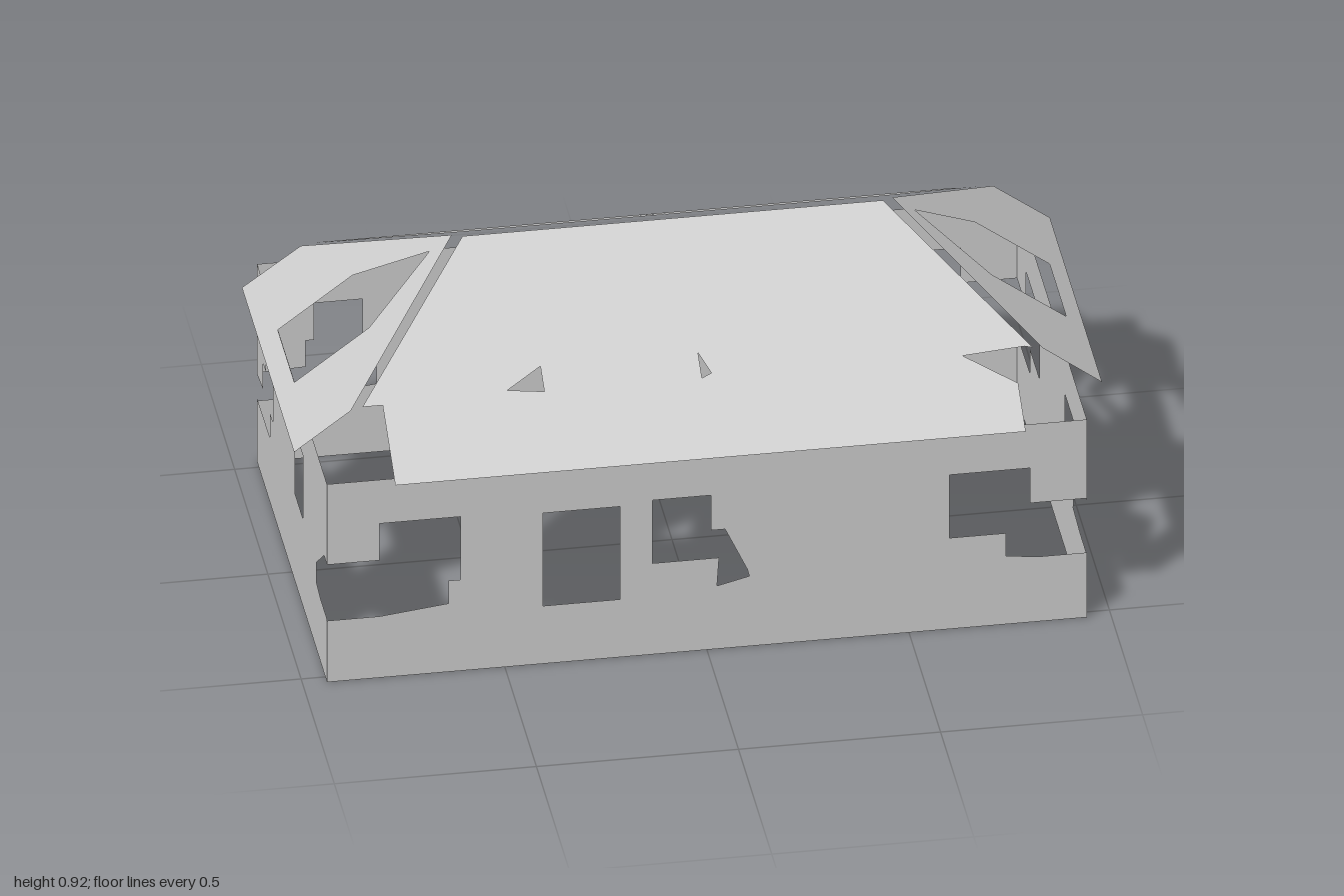
import * as THREE from 'three';

const material = new THREE.MeshStandardMaterial({ color: 0xcccccc, side: THREE.DoubleSide, flatShading: true });
const HEIGHT = 0.565, HALF_X = 0.94, HALF_Z = 0.525;

const points = (list) => list.map(([a, b]) => new THREE.Vector2(a, b));

function sheet(outline, holes) {
  const shape = new THREE.Shape(points(outline));
  for (const hole of holes) shape.holes.push(new THREE.Path(points(hole)));
  return new THREE.ShapeGeometry(shape);
}

const rect = (a0, a1, b0, b1) => [[a0, b0], [a1, b0], [a1, b1], [a0, b1]];

// Upright wall: left gap runs top to bottom, right gap bottom to top
function wall(name, half, leftGap, rightGap, holes, distance, angle) {
  const outline = [[-half, 0], [half, 0], ...rightGap, [half, HEIGHT], [-half, HEIGHT], ...leftGap];
  const geometry = sheet(outline, holes);
  geometry.translate(0, 0, distance);
  geometry.rotateY(angle);
  const mesh = new THREE.Mesh(geometry, material);
  mesh.name = name;
  return mesh;
}

// Roof panel drawn in plan (x, z) and raised to its slope
function roofPanel(name, outline, holes, heightAt) {
  const plan = (list) => list.map(([x, z]) => [x, -z]);
  const geometry = sheet(plan(outline), holes.map(plan));
  const p = geometry.attributes.position;
  for (let i = 0; i < p.count; i++) {
    const x = p.getX(i), z = -p.getY(i);
    p.setXYZ(i, x, heightAt(x, z), z);
  }
  geometry.computeVertexNormals();
  const mesh = new THREE.Mesh(geometry, material);
  mesh.name = name;
  return mesh;
}

export function createModel() {
  const model = new THREE.Group();
  model.name = 'house';

  // Long walls with window openings and broken corners
  model.add(wall('frontWall', HALF_X,
    [[-0.94, 0.335], [-0.81, 0.335], [-0.81, 0.44], [-0.61, 0.44], [-0.61, 0.26], [-0.64, 0.26], [-0.64, 0.195], [-0.81, 0.175], [-0.94, 0.175]],
    [[0.94, 0.185], [0.82, 0.185], [0.74, 0.195], [0.74, 0.26], [0.6, 0.26], [0.6, 0.44], [0.8, 0.44], [0.8, 0.34], [0.94, 0.34]],
    [
      rect(-0.405, -0.215, 0.165, 0.43),
      [[-0.135, 0.26], [0.03, 0.26], [0.025, 0.18], [0.105, 0.2], [0.1, 0.22], [0.045, 0.34], [0.01, 0.34], [0.01, 0.44], [-0.135, 0.44]],
    ], HALF_Z, 0));
  model.add(wall('backWall', HALF_X,
    [[-0.94, 0.34], [-0.8, 0.34], [-0.8, 0.44], [-0.6, 0.44], [-0.6, 0.26], [-0.73, 0.26], [-0.73, 0.19], [-0.94, 0.18]],
    [[0.94, 0.175], [0.81, 0.175], [0.645, 0.195], [0.645, 0.26], [0.68, 0.26], [0.68, 0.44], [0.8, 0.44], [0.8, 0.335], [0.82, 0.335], [0.82, 0.26], [0.94, 0.255]],
    [
      [[-0.405, 0.2], [-0.3, 0.18], [-0.215, 0.24], [-0.215, 0.43], [-0.405, 0.43]],
      rect(-0.105, 0.095, 0.165, 0.43),
      [[0.215, 0.25], [0.25, 0.25], [0.29, 0.185], [0.37, 0.175], [0.37, 0.26], [0.405, 0.26], [0.405, 0.43], [0.215, 0.43]],
    ], HALF_Z, Math.PI));

  // End walls
  model.add(wall('leftEndWall', HALF_Z,
    [[-0.525, 0.335], [-0.39, 0.335], [-0.39, 0.44], [-0.195, 0.44], [-0.195, 0.255], [-0.335, 0.255], [-0.32, 0.19], [-0.43, 0.18], [-0.525, 0.18]],
    [[0.525, 0.18], [0.33, 0.185], [0.33, 0.255], [0.19, 0.255], [0.19, 0.44], [0.39, 0.44], [0.39, 0.34], [0.525, 0.34]],
    [], HALF_X, Math.PI / 2));
  model.add(wall('rightEndWall', HALF_Z,
    [[-0.525, 0.25], [-0.435, 0.26], [-0.435, 0.335], [-0.39, 0.335], [-0.39, 0.44], [-0.29, 0.44], [-0.29, 0.255], [-0.335, 0.255], [-0.335, 0.185], [-0.525, 0.18]],
    [[0.525, 0.18], [0.43, 0.18], [0.37, 0.19], [0.37, 0.25], [0.48, 0.335], [0.525, 0.335]],
    [rect(0.04, 0.165, 0.25, 0.43)], HALF_X, -Math.PI / 2));

  // Long roof slopes, each with one torn corner and small holes
  const longSlope = (x, z) => 0.93 - 0.605 * Math.abs(z);
  const longOutline = [
    [-0.52, 0.01], [-0.83, 0.39], [-0.78, 0.39], [-0.78, 0.58], [0.78, 0.58], [0.78, 0.465],
    [0.655, 0.39], [0.73, 0.385], [0.81, 0.38], [0.83, 0.385], [0.52, 0.01],
  ];
  model.add(roofPanel('frontRoof', longOutline, [
    [[-0.47, 0.38], [-0.38, 0.39], [-0.38, 0.33]],
    [[0.01, 0.33], [0.01, 0.39], [0.035, 0.38]],
  ], longSlope));
  const backOutline = [
    [0.52, -0.015], [0.835, -0.395], [0.78, -0.395], [0.78, -0.585], [-0.785, -0.585], [-0.785, -0.465],
    [-0.69, -0.405], [-0.785, -0.38], [-0.835, -0.39], [-0.52, -0.015],
  ];
  model.add(roofPanel('backRoof', backOutline, [
    [[-0.03, -0.4], [0.02, -0.38], [0.02, -0.415]],
    [[-0.01, -0.13], [0, -0.07], [0.02, -0.13]],
  ], longSlope));

  // Hipped roof ends with pointed openings
  const endSlope = (x) => 0.92 - 0.745 * (Math.abs(x) - 0.55);
  for (const [name, s] of [['leftRoofEnd', 1], ['rightRoofEnd', -1]]) {
    const turn = (list) => list.map(([x, z]) => [s * x, s * z]);
    model.add(roofPanel(name,
      turn([[0.545, 0], [0.855, 0.385], [1, 0.39], [1, -0.395], [0.86, -0.395]]),
      [turn([[0.6, 0], [0.77, 0.125], [0.955, 0.125], [0.955, -0.125], [0.77, -0.125]])],
      endSlope));
  }
  return model;
}
